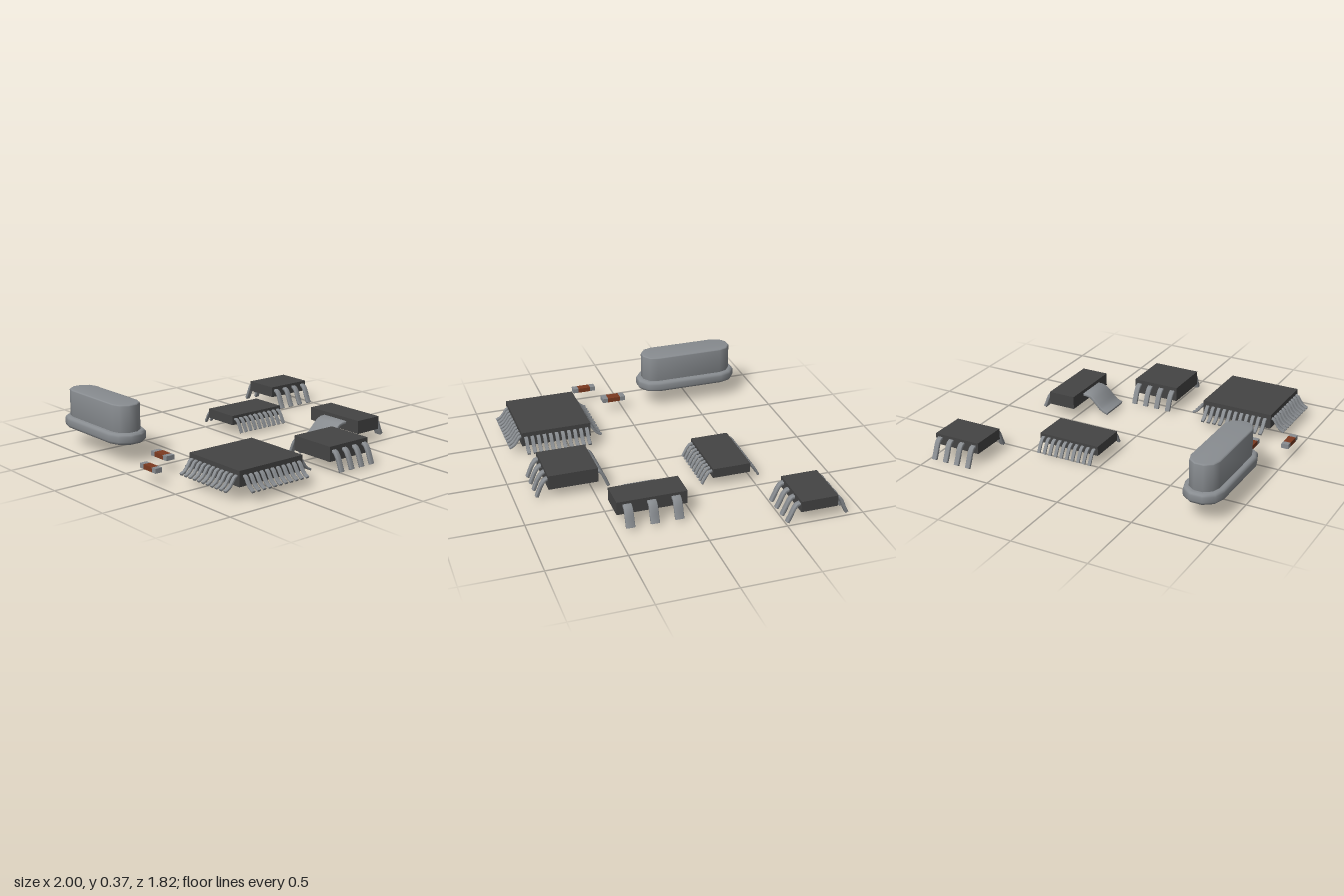
import * as THREE from 'three';
import { toCreasedNormals } from 'three/addons/utils/BufferGeometryUtils.js';

const mat = (name, color) => {
  const m = new THREE.MeshStandardMaterial({ color });
  m.name = name;
  return m;
};

export function createModel() {
  const model = new THREE.Group();
  model.name = 'circuitComponents';
  const plastic = mat('black plastic', 0x444444);
  const metal = mat('tinned metal', 0x888c90);
  const ceramic = mat('brown ceramic', 0x7c3a20);

  const add = (parent, name, geo, material) => {
    const mesh = new THREE.Mesh(geo, material);
    mesh.name = name;
    parent.add(mesh);
    return mesh;
  };

  const box = (parent, name, x0, x1, y0, y1, z0, z1, material) =>
    add(parent, name, new THREE.BoxGeometry(x1 - x0, y1 - y0, z1 - z0), material)
      .position.set((x0 + x1) / 2, (y0 + y1) / 2, (z0 + z1) / 2);

  const group = (name) => {
    const g = new THREE.Group();
    g.name = name;
    model.add(g);
    return g;
  };

  // Bent metal strip: a curved profile (outward, height) given thickness and width
  function strip(path, thickness, width) {
    const curve = new THREE.SplineCurve(path.map(([x, y]) => new THREE.Vector2(x, y)));
    const bevel = Math.min(0.004, thickness / 4);
    const half = thickness / 2 - bevel;
    const upper = [], lower = [];
    for (let i = 0; i <= 10; i++) {
      const p = curve.getPoint(i / 10), t = curve.getTangent(i / 10);
      upper.push(new THREE.Vector2(p.x - t.y * half, p.y + t.x * half));
      lower.unshift(new THREE.Vector2(p.x + t.y * half, p.y - t.x * half));
    }
    const depth = width - 2 * bevel;
    const geo = new THREE.ExtrudeGeometry(new THREE.Shape([...upper, ...lower]), {
      depth, bevelEnabled: true, bevelSize: bevel, bevelThickness: bevel, bevelSegments: 2,
    });
    geo.translate(0, 0, -depth / 2);
    return toCreasedNormals(geo, 0.9);
  }

  // Row of legs leaving one edge of a body; angle turns +x to the outward direction
  function legRow(parent, geo, count, pitch, x, z, angle, name = 'leg') {
    const row = new THREE.Group();
    row.name = name + 'Row';
    row.position.set(x, 0, z);
    row.rotation.y = angle;
    for (let i = 0; i < count; i++)
      add(row, name, geo, metal).position.z = (i - (count - 1) / 2) * pitch;
    parent.add(row);
  }

  const FRONT = -Math.PI / 2, BACK = Math.PI / 2, LEFT = 0, RIGHT = Math.PI;

  // Chips with legs along the front and back
  const chips = [
    { name: 'backEightLegChip', x: [0.677, 0.996], y: [0.078, 0.15], z: [-0.828, -0.588],
      n: 4, pitch: 0.084, width: 0.034, thick: 0.02,
      path: [[-0.02, 0.122], [0.012, 0.12], [0.035, 0.095], [0.058, 0.04], [0.074, 0.008]] },
    { name: 'frontEightLegChip', x: [-0.056, 0.262], y: [0.072, 0.168], z: [0.47, 0.79],
      n: 4, pitch: 0.084, width: 0.034, thick: 0.02,
      path: [[-0.02, 0.135], [0.012, 0.132], [0.035, 0.105], [0.057, 0.055], [0.07, 0.022]] },
    { name: 'twentyLegChip', x: [0.018, 0.438], y: [0.067, 0.13], z: [-0.48, -0.23],
      n: 10, pitch: 0.041, width: 0.022, thick: 0.014,
      path: [[-0.02, 0.106], [0.012, 0.104], [0.032, 0.085], [0.052, 0.05], [0.064, 0.026]] },
  ];
  for (const c of chips) {
    const g = group(c.name);
    box(g, 'body', ...c.x, ...c.y, ...c.z, plastic);
    const leg = strip(c.path, c.thick, c.width);
    const cx = (c.x[0] + c.x[1]) / 2;
    legRow(g, leg, c.n, c.pitch, cx, c.z[1], FRONT);
    legRow(g, leg, c.n, c.pitch, cx, c.z[0], BACK);
  }

  // Square chip with legs on all four sides
  const square = group('squareChip');
  box(square, 'body', -0.79, -0.31, 0.08, 0.177, 0.36, 0.825, plastic);
  const gull = strip([[-0.02, 0.142], [0.012, 0.138], [0.035, 0.105], [0.057, 0.08], [0.083, 0.066]], 0.014, 0.024);
  legRow(square, gull, 11, 0.041, -0.546, 0.82, FRONT);
  legRow(square, gull, 11, 0.041, -0.546, 0.365, BACK);
  legRow(square, gull, 11, 0.041, -0.31, 0.593, LEFT);
  legRow(square, gull, 11, 0.041, -0.79, 0.593, RIGHT);

  // Regulator: three legs on one side, a wide tab on the other
  const regulator = group('regulator');
  box(regulator, 'body', 0.492, 0.677, 0.075, 0.162, 0.025, 0.475, plastic);
  const wideLeg = strip([[-0.02, 0.132], [0.015, 0.13], [0.04, 0.1], [0.06, 0.05], [0.073, 0.022]], 0.022, 0.056);
  legRow(regulator, wideLeg, 3, 0.155, 0.677, 0.255, LEFT);
  const tab = strip([[-0.02, 0.128], [0.045, 0.124], [0.095, 0.085], [0.135, 0.045], [0.18, 0.026]], 0.02, 0.21);
  legRow(regulator, tab, 1, 0, 0.492, 0.26, RIGHT, 'tab');

  // Crystal can: rounded oblong cap on a wider flange
  function oblong(radius, straight, y0, y1, bevel) {
    const pts = [];
    const r = radius - bevel;
    for (const end of [1, -1])
      for (let i = 0; i <= 5; i++) {
        const a = (i / 5) * Math.PI;
        pts.push(new THREE.Vector2(end * r * Math.cos(a), end * (straight + r * Math.sin(a))));
      }
    const geo = new THREE.ExtrudeGeometry(new THREE.Shape(pts), {
      depth: y1 - y0 - 2 * bevel, bevelEnabled: true,
      bevelSize: bevel, bevelThickness: bevel, bevelSegments: 3,
    });
    geo.rotateX(-Math.PI / 2).translate(0, y0 + bevel, 0);
    return toCreasedNormals(geo, 0.75);
  }
  const crystal = group('crystal');
  crystal.position.set(-0.825, 0, -0.48);
  add(crystal, 'flange', oblong(0.128, 0.228, 0.12, 0.192, 0.02), metal);
  add(crystal, 'can', oblong(0.094, 0.228, 0.17, 0.368, 0.008), metal);

  // Two chip capacitors: ceramic middle with metal ends
  for (const [x0, x1, z0, z1] of [[-0.805, -0.743, -0.01, 0.15], [-1, -0.952, 0.15, 0.308]]) {
    const g = group('capacitor');
    const e = 0.037;
    box(g, 'ceramicBody', x0, x1, 0.075, 0.105, z0 + e, z1 - e, ceramic);
    box(g, 'endCap', x0, x1, 0.075, 0.105, z0, z0 + e, metal);
    box(g, 'endCap', x0, x1, 0.075, 0.105, z1 - e, z1, metal);
  }

  return model;
}
